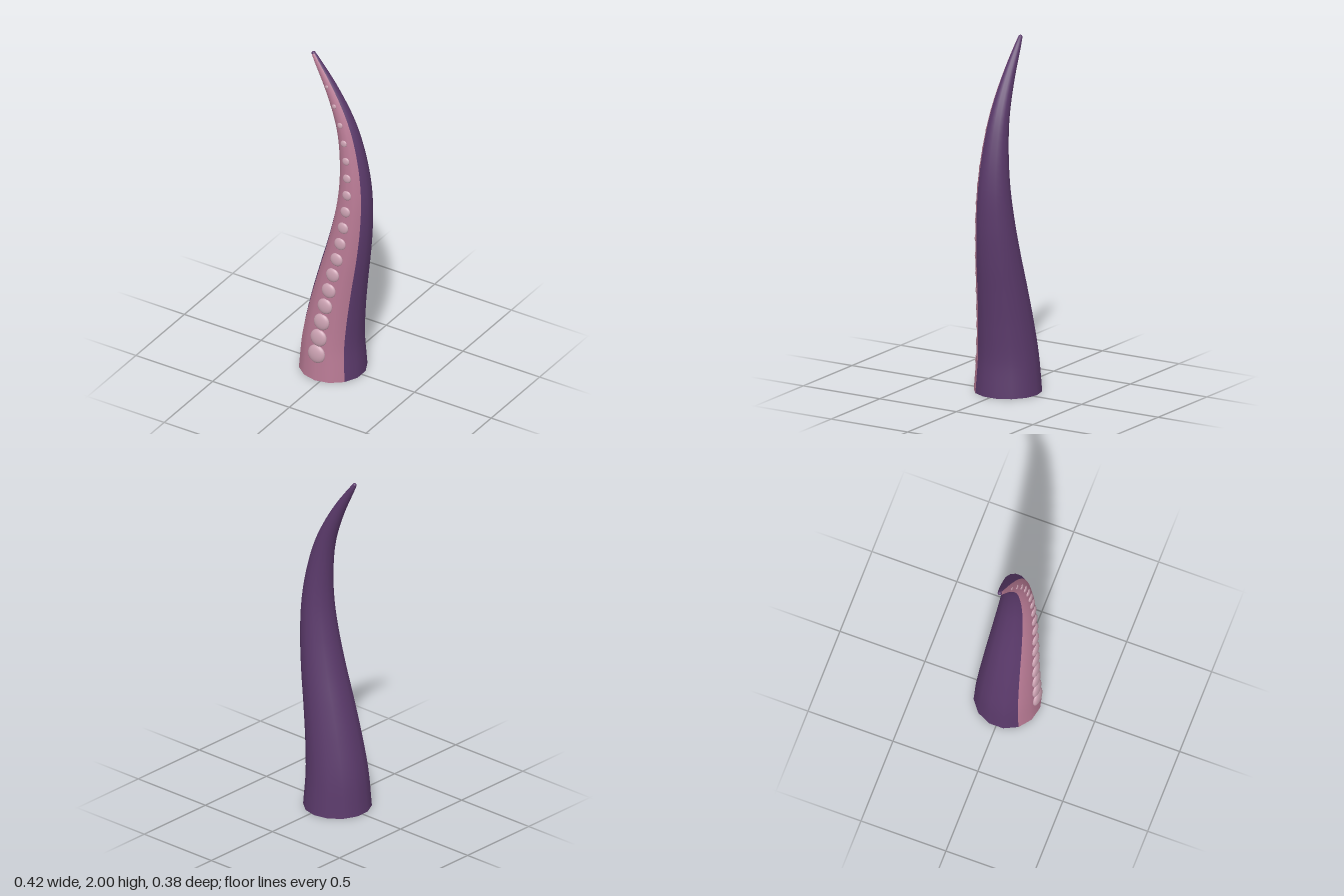
import * as THREE from 'three';
import { ParametricGeometry } from 'three/addons/geometries/ParametricGeometry.js';

const SIDES = 14;
const STEP = (Math.PI * 2) / SIDES;
const HEIGHT = 1.99;

// Centre line: x offsets at even heights
const bend = [-0.03, -0.027, -0.002, 0.033, 0.072, 0.102, 0.115, 0.1, 0.055, -0.035, -0.157];
const spine = new THREE.CatmullRomCurve3(
  bend.map((x, i) => new THREE.Vector3(x, (HEIGHT * i) / (bend.length - 1), 0)),
  false, 'catmullrom', 0.5
);
const radius = (t) => 0.012 + 0.178 * Math.pow(Math.max(0, 1 - t), 0.87);

// Point on the skin; angle 0 faces the front and grows towards +x
function skinPoint(angle, t, target) {
  const p = spine.getPoint(t);
  const d = spine.getTangent(t);
  if (t < 0.05) d.lerp(new THREE.Vector3(0, 1, 0), 1 - t / 0.05).normalize();
  const s = radius(t) * Math.sin(angle);
  return target.set(p.x + d.y * s, p.y - d.x * s, radius(t) * Math.cos(angle));
}

// Strip of skin covering a whole number of sides
function skin(name, firstSide, count, material) {
  const geometry = new ParametricGeometry(
    (u, v, target) => skinPoint((firstSide + u * count) * STEP, v, target), count, 48
  );
  const mesh = new THREE.Mesh(geometry, material);
  mesh.name = name;
  return mesh;
}

export function createModel() {
  const group = new THREE.Group();
  group.name = 'tentacle';
  const purple = new THREE.MeshStandardMaterial({ color: 0x5b3a6b });
  const pink = new THREE.MeshStandardMaterial({ color: 0xb87a94 });
  const pale = new THREE.MeshStandardMaterial({ color: 0xc9a0b0 });

  // Pink underside at the front, purple skin around the rest
  group.add(skin('underside', -2, 4, pink), skin('outerSkin', 2, SIDES - 4, purple));

  // Flat base
  const base = new THREE.Mesh(new THREE.CircleGeometry(radius(0), SIDES, Math.PI / 2), purple);
  base.name = 'base';
  base.rotation.x = Math.PI / 2;
  base.position.x = bend[0];
  group.add(base);

  // Rounded tip
  const tip = new THREE.Mesh(new THREE.SphereGeometry(radius(1), SIDES, 8), purple);
  tip.name = 'tip';
  tip.position.copy(spine.getPoint(1));
  group.add(tip);

  // Row of flattened suckers shrinking towards the tip
  const suckers = new THREE.Group();
  suckers.name = 'suckers';
  const ball = new THREE.SphereGeometry(1, 16, 12);
  for (let i = 0; i < 17; i++) {
    const t = (0.165 + 0.1035 * i) / HEIGHT;
    const size = radius(t) * 0.31;
    const sucker = new THREE.Mesh(ball, pale);
    sucker.name = 'sucker';
    skinPoint(0, t, sucker.position);
    sucker.position.z *= 0.98;
    sucker.scale.set(size, size, size * 0.38);
    const d = spine.getTangent(t);
    sucker.rotation.set(-0.09, 0, Math.atan2(-d.x, d.y));
    suckers.add(sucker);
  }
  group.add(suckers);
  return group;
}
